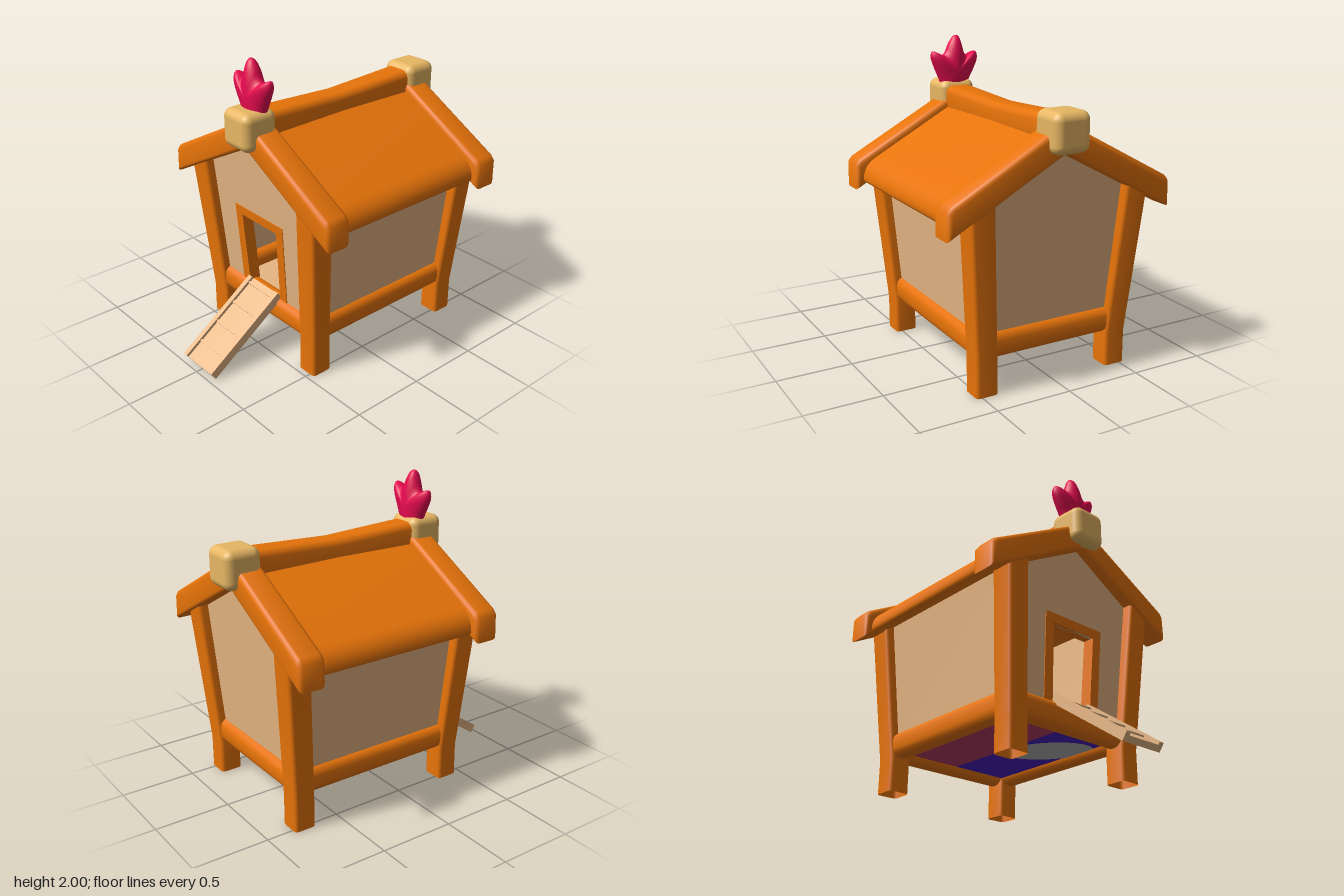
import * as THREE from 'three';
import { toCreasedNormals } from 'three/addons/utils/BufferGeometryUtils.js';
import { RoundedBoxGeometry } from 'three/addons/geometries/RoundedBoxGeometry.js';

const material = (name, color, side = THREE.FrontSide) => {
  const m = new THREE.MeshStandardMaterial({ color, side });
  m.name = name;
  return m;
};

const LEAN = 0.072; // outward lean of posts and walls per unit of height
const BASE = 0.22; // height where the lean starts
const lean = (y) => LEAN * Math.max(0, y - BASE);

// Rounded-rectangle tube along z; each section is [z, centreX, centreY, halfX, halfY]
function loft(sections, radius) {
  const pos = [], index = [], steps = 3, n = 4 * (steps + 1);
  for (const [s, cx, cy, hx, hy] of sections) {
    for (let q = 0; q < 4; q++) {
      const sx = q === 0 || q === 3 ? 1 : -1, sy = q < 2 ? 1 : -1;
      for (let k = 0; k <= steps; k++) {
        const a = (q + k / steps) * Math.PI / 2;
        pos.push(cx + sx * (hx - radius) + radius * Math.cos(a),
          cy + sy * (hy - radius) + radius * Math.sin(a), s);
      }
    }
  }
  for (let r = 0; r < sections.length - 1; r++) {
    for (let i = 0; i < n; i++) {
      const a = r * n + i, b = r * n + (i + 1) % n;
      index.push(a, b, b + n, a, b + n, a + n);
    }
  }
  const geo = new THREE.BufferGeometry();
  geo.setAttribute('position', new THREE.Float32BufferAttribute(pos, 3));
  geo.setIndex(index);
  return toCreasedNormals(geo, 0.6);
}

const vectors = (points) => points.map(([x, y]) => new THREE.Vector2(x, y));
const shapeOf = (points) => new THREE.Shape(vectors(points));

// Move every vertex by a rule
function bend(geo, rule) {
  const p = geo.attributes.position, v = new THREE.Vector3();
  for (let i = 0; i < p.count; i++) {
    rule(v.fromBufferAttribute(p, i));
    p.setXYZ(i, v.x, v.y, v.z);
  }
  geo.computeVertexNormals();
  return geo;
}

export function createModel() {
  const wood = material('orange wood', 0xf0780a, THREE.DoubleSide);
  const board = material('tan board', 0xebb986);
  const stone = material('beige block', 0xf0be68);
  const red = material('crimson', 0xf20c54);
  const maroon = material('maroon', 0xb83c66);
  const blue = material('dark blue', 0x4a1fc0);
  const grey = material('grey', 0xb2b2b2);

  const model = new THREE.Group();
  model.name = 'coop';
  const house = new THREE.Group();
  house.name = 'house';
  house.position.z = -0.18;
  model.add(house);

  const add = (parent, name, geo, mat, x = 0, y = 0, z = 0) => {
    const m = new THREE.Mesh(geo, mat);
    m.name = name;
    m.position.set(x, y, z);
    parent.add(m);
    return m;
  };

  // Corner posts: upright feet, then leaning outwards, open below
  for (const sx of [-1, 1]) {
    for (const sz of [-1, 1]) {
      const at = (y, h) => [y, sx * (0.465 + lean(y)), -sz * (0.57 + lean(y)), h, h];
      add(house, 'cornerPost', loft([at(0, 0.073), at(BASE, 0.073), at(1.2, 0.081)], 0.022).rotateX(-Math.PI / 2), wood);
    }
  }

  // Two gable ends
  const slope = 0.54;
  for (const front of [true, false]) {
    const end = new THREE.Group();
    end.name = front ? 'frontEnd' : 'backEnd';
    end.rotation.y = front ? 0 : Math.PI;
    house.add(end);

    const lift = (v) => { v.z += 0.57 + lean(v.y); };
    const wall = shapeOf([[-0.465, 0.25], [0.465, 0.25], [0.535, 1.2], [0, 1.5], [-0.535, 1.2]]);
    if (front) {
      wall.holes.push(shapeOf([[-0.17, 0.34], [-0.18, 0.89], [0.17, 0.89], [0.16, 0.34]]));
      const frame = shapeOf([[-0.232, 0.38], [-0.162, 0.38], [-0.178, 0.89], [0.168, 0.89],
        [0.155, 0.38], [0.222, 0.38], [0.235, 0.95], [-0.245, 0.95]]);
      const geo = new THREE.ExtrudeGeometry(frame, { depth: 0.08, bevelEnabled: false }).translate(0, 0, -0.06);
      add(end, 'doorFrame', bend(geo, lift), wood);
    }
    const wallGeo = new THREE.ExtrudeGeometry(wall, { depth: 0.03, bevelEnabled: false }).translate(0, 0, -0.015);
    add(end, 'gableWall', bend(wallGeo, lift), board);

    const sill = loft([[-0.46, 0, 0, 0.065, 0.084], [0.46, 0, 0, 0.065, 0.084]], 0.055);
    add(end, 'endSill', sill.rotateY(Math.PI / 2), wood, 0, 0.306, 0.57);

    // Bevelled chevron beam
    const chevron = shapeOf([[-0.765, 1.03], [0, 1.44], [0.765, 1.03], [0.765, 1.195], [0.738, 1.23],
      [0, 1.63], [-0.738, 1.23], [-0.765, 1.195]]);
    const beam = new THREE.ExtrudeGeometry(chevron, {
      depth: 0.12, bevelThickness: 0.03, bevelSize: 0.03, bevelOffset: -0.03, bevelSegments: 3,
    });
    add(end, 'gableBeam', toCreasedNormals(beam, 0.8), wood, 0, 0, 0.59);
    add(end, 'ridgeBlock', new RoundedBoxGeometry(0.25, 0.25, 0.245, 4, 0.055), stone, 0, 1.575, 0.69);
  }

  // Long sides: wall, sill and roof panel
  for (const s of [-1, 1]) {
    const side = bend(new THREE.BoxGeometry(0.03, 0.95, 2).translate(0, 0.725, 0), (v) => {
      v.x += s * (0.465 + lean(v.y));
      v.z *= 0.57 + lean(v.y);
    });
    add(house, 'sideWall', side, board);
    const sill = loft([[-0.57, 0, 0, 0.065, 0.084], [0.57, 0, 0, 0.065, 0.084]], 0.055);
    add(house, 'sideSill', sill, wood, s * 0.465, 0.306, 0);

    const eave = 0.72, top = (x) => 1.19 + slope * (eave - x);
    const panel = new THREE.Shape();
    panel.moveTo(0, 1.46);
    panel.lineTo(s * 0.66, 1.095);
    panel.quadraticCurveTo(s * 0.71, 1.055, s * eave, 1.1);
    panel.quadraticCurveTo(s * eave, top(eave), s * 0.63, top(0.63));
    panel.lineTo(0, top(0));
    const geo = new THREE.ExtrudeGeometry(panel, { depth: 1.2, bevelEnabled: false, curveSegments: 6 });
    add(house, 'roofPanel', toCreasedNormals(geo, 0.8), wood, 0, 0, -0.6);
  }

  // Sagging ridge beam
  const ridge = [];
  for (let i = 0; i <= 8; i++) {
    const t = i / 4 - 1, sag = 0.025 * (1 - Math.abs(t));
    ridge.push([t * 0.64, 0, 1.57 - sag, 0.098 - 0.4 * sag, 0.1]);
  }
  add(house, 'ridgeBeam', loft(ridge, 0.045), wood);

  // Floor with coloured patches underneath
  add(house, 'floor', new THREE.BoxGeometry(0.93, 0.02, 1.14), board, 0, 0.28, 0);
  const down = (geo) => geo.rotateX(Math.PI / 2);
  add(house, 'maroonUnderside', down(new THREE.PlaneGeometry(0.465, 1.14)), maroon, -0.2325, 0.268, 0);
  add(house, 'blueUnderside', down(new THREE.PlaneGeometry(0.465, 1.14)), blue, 0.2325, 0.268, 0);
  const patch = new THREE.CircleGeometry(1, 24).scale(0.29, 0.17, 1).rotateZ(0.95);
  add(house, 'greyPatch', down(patch), grey, 0.22, 0.265, 0.16);

  // Three-lobed crest on the front block: a closed outline swollen towards its middle
  const outline = new THREE.CatmullRomCurve3([[0, -0.2], [0.08, -0.14], [0.115, -0.05], [0.15, 0.03], [0.172, 0.1],
    [0.16, 0.135], [0.125, 0.125], [0.085, 0.108], [0.06, 0.13], [0.035, 0.185], [0, 0.232], [-0.03, 0.235],
    [-0.055, 0.18], [-0.072, 0.122], [-0.092, 0.098], [-0.13, 0.117], [-0.165, 0.123], [-0.177, 0.08],
    [-0.145, 0], [-0.112, -0.06], [-0.08, -0.14]].map(([x, y]) => new THREE.Vector3(x, y, 0)), true);
  const around = 84, rim = outline.getPoints(around);
  const crest = bend(new THREE.SphereGeometry(1, around, 20).rotateX(Math.PI / 2), (v) => {
    const turn = (Math.atan2(v.y, v.x) / (2 * Math.PI) + 1.25) % 1;
    const p = rim[Math.round(turn * around) % around], r = Math.hypot(v.x, v.y);
    v.set(p.x * r, p.y * r, v.z * 0.07);
  });
  add(model, 'crest', crest, red, 0, 1.76, 0.47);

  // Ramp leaning on the doorway
  const ramp = new THREE.Group();
  ramp.name = 'ramp';
  ramp.position.set(-0.004, 0.22, 0.695);
  ramp.rotation.x = 0.604;
  model.add(ramp);
  add(ramp, 'rampBoard', new THREE.BoxGeometry(0.26, 0.04, 0.67), board, 0, -0.01, 0);
  for (const s of [-1, 1]) add(ramp, 'rampRail', new THREE.BoxGeometry(0.034, 0.06, 0.67), board, s * 0.137, 0, 0);
  for (let i = 0; i < 4; i++) {
    add(ramp, 'rampRung', new THREE.BoxGeometry(0.245, 0.012, 0.018), board, 0, 0.014, 0.2 - i * 0.165);
  }

  return model;
}
